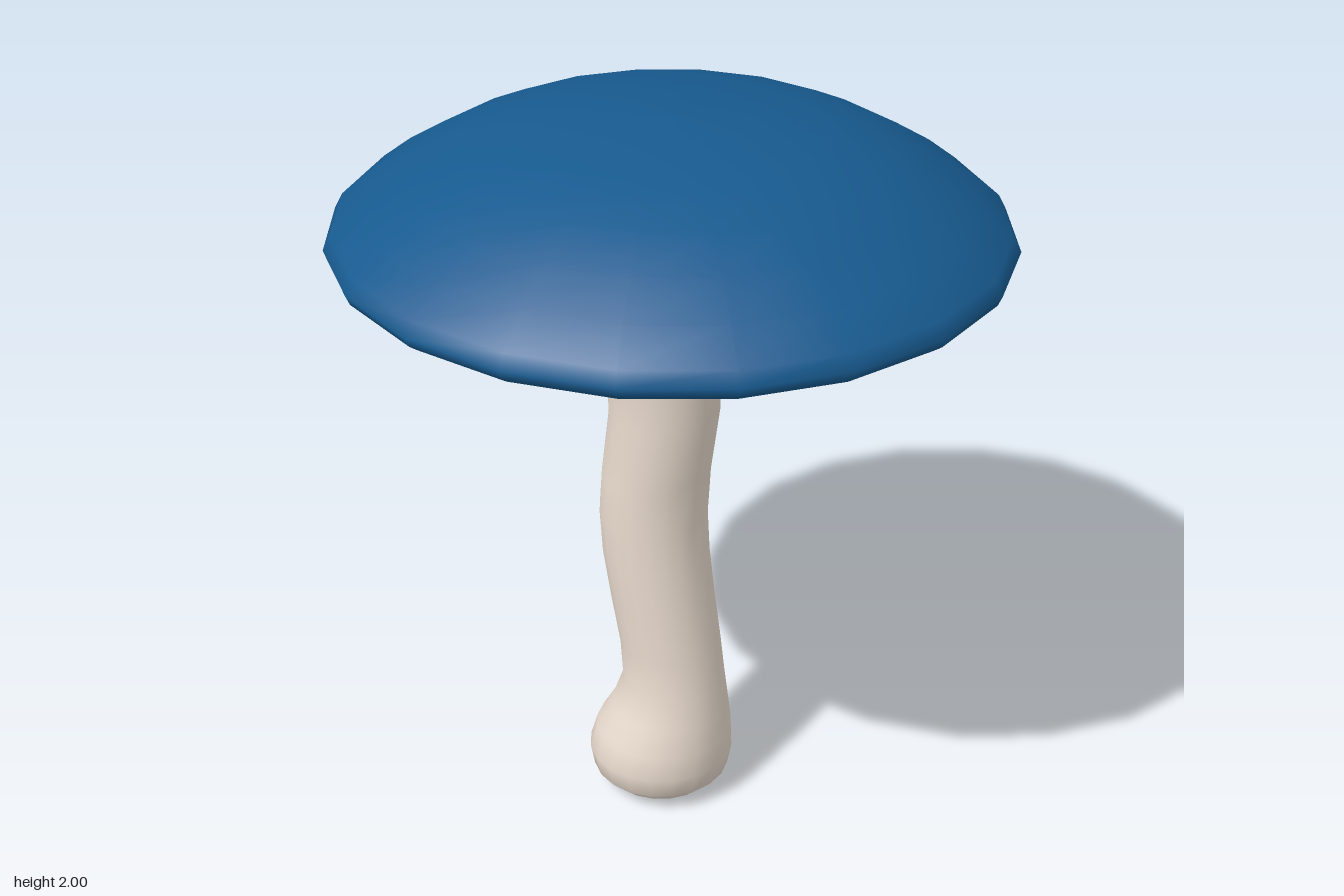
import * as THREE from 'three';

const SIDES = 20;

// Smooth skin over a stack of rings, listed from bottom to top.
// Each ring: [centre x, height, radius, slope]; slope lowers the ring towards +x.
function loft(name, rings, color) {
  const positions = [], index = [];
  rings.forEach(([cx, y, r, slope], i) => {
    for (let j = 0; j < SIDES; j++) {
      const a = (j / SIDES) * Math.PI * 2;
      const dx = r * Math.sin(a);
      positions.push(cx + dx, y - slope * dx, r * Math.cos(a));
      if (i === rings.length - 1) continue;
      const p = i * SIDES + j, q = i * SIDES + ((j + 1) % SIDES);
      if (r > 0) index.push(p, q, q + SIDES);
      if (rings[i + 1][2] > 0 || r > 0) {
        if (rings[i + 1][2] > 0) index.push(p, q + SIDES, p + SIDES);
      }
    }
  });
  const geometry = new THREE.BufferGeometry();
  geometry.setAttribute('position', new THREE.Float32BufferAttribute(positions, 3));
  geometry.setIndex(index);
  geometry.computeVertexNormals();
  const mesh = new THREE.Mesh(geometry, new THREE.MeshStandardMaterial({ color }));
  mesh.name = name;
  return mesh;
}

export function createModel() {
  const group = new THREE.Group();
  group.name = 'mushroom';

  // Wavy stem with a bulbous foot, flaring out into the hollow underside of the cap
  const stem = loft('stemAndUnderside', [
    [-0.035, 0.0, 0, 0],
    [-0.035, 0.008, 0.1, 0],
    [-0.035, 0.025, 0.155, 0],
    [-0.035, 0.06, 0.19, 0],
    [-0.035, 0.12, 0.201, 0],
    [-0.025, 0.19, 0.19, 0],
    [-0.005, 0.27, 0.163, 0],
    [0.006, 0.36, 0.142, 0],
    [-0.004, 0.47, 0.14, 0.08],
    [-0.027, 0.61, 0.144, 0.15],
    [-0.047, 0.75, 0.146, 0.1],
    [-0.055, 0.88, 0.146, 0],
    [-0.047, 1.0, 0.146, -0.1],
    [-0.022, 1.19, 0.146, -0.05],
    [-0.025, 1.32, 0.15, 0.15],
    [-0.04, 1.45, 0.168, 0.3],
    [0, 1.66, 0.285, 0.03],
    [0, 1.695, 0.38, 0.01],
    [0, 1.695, 0.55, 0.01],
    [0, 1.66, 0.83, 0.01],
  ], 0xeadccf);

  // Shallow domed cap, tilted very slightly
  const cap = loft('cap', [
    [0, 1.66, 0.83, 0.01],
    [0, 1.675, 0.85, 0.01],
    [0, 1.698, 0.86, 0.01],
    [0, 1.735, 0.84, 0.01],
    [0, 1.8, 0.755, 0.01],
    [0, 1.865, 0.65, 0.01],
    [0, 1.922, 0.53, 0.01],
    [0, 1.966, 0.38, 0.01],
    [0, 1.99, 0.2, 0.01],
    [0, 2.0, 0, 0],
  ], 0x175a8f);

  group.add(stem, cap);
  return group;
}
